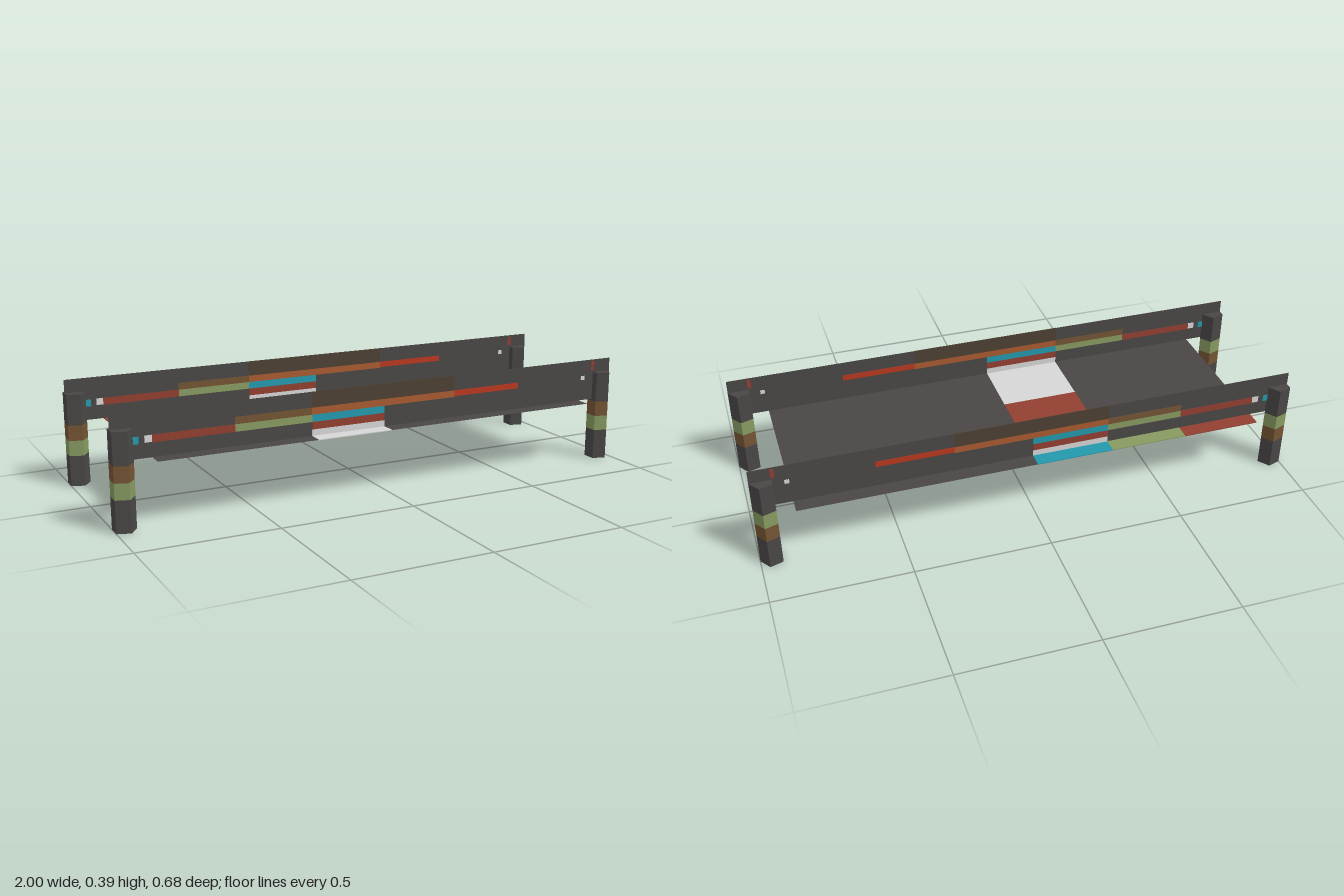
import * as THREE from 'three';

const paint = (name, color) => {
  const m = new THREE.MeshStandardMaterial({ color });
  m.name = name;
  return m;
};

export function createModel() {
  const mats = {
    charcoal: paint('charcoal', 0x4a4646),
    darkBrown: paint('dark brown', 0x4c4034),
    brown: paint('brown', 0x735434),
    orange: paint('orange', 0xa85a30),
    scarlet: paint('scarlet', 0xb8381f),
    brick: paint('brick red', 0x923f30),
    green: paint('green', 0x879a60),
    cyan: paint('cyan', 0x2399ac),
    white: paint('white', 0xd6d6d6),
  };
  // Open sheets are seen from both sides
  const sheet = mats.charcoal.clone();
  sheet.side = THREE.DoubleSide;

  const model = new THREE.Group();
  model.name = 'lowTable';
  const add = (parent, name, geometry, material, x, y, z) => {
    const mesh = new THREE.Mesh(geometry, material);
    mesh.name = name;
    mesh.position.set(x, y, z);
    parent.add(mesh);
    return mesh;
  };
  const T = 0.003;

  // Deck: a flat sheet with painted panels (x0, x1, z0, z1)
  const deck = new THREE.Group();
  deck.name = 'deck';
  deck.position.y = 0.234;
  model.add(deck);
  add(deck, 'deckSheet', new THREE.PlaneGeometry(1.72, 0.68).rotateX(-Math.PI / 2), sheet, 0, 0, 0);
  const deckPanels = [
    ['brick', -0.86, -0.57, -0.34, -0.228],
    ['green', -0.57, -0.285, -0.34, -0.228],
    ['cyan', -0.285, 0, -0.34, -0.228],
    ['brick', -0.285, 0, -0.228, 0.055],
    ['white', -0.285, 0, 0.055, 0.34],
  ];
  for (const [c, x0, x1, z0, z1] of deckPanels) {
    add(deck, 'deckPanel', new THREE.BoxGeometry(x1 - x0, T, z1 - z0), mats[c],
      (x0 + x1) / 2, 0, (z0 + z1) / 2);
  }

  // Side rails: upright sheets with the same painted stripes (x0, x1, y0, y1)
  const stripes = [
    ['darkBrown', -0.285, 0.29, 0.336, 0.392],
    ['brown', -0.57, -0.285, 0.311, 0.336],
    ['orange', -0.285, 0.29, 0.311, 0.336],
    ['scarlet', 0.29, 0.57, 0.314, 0.336],
    ['brick', -0.86, -0.57, 0.285, 0.311],
    ['green', -0.57, -0.285, 0.285, 0.311],
    ['cyan', -0.285, 0, 0.285, 0.311],
    ['brick', -0.285, 0, 0.258, 0.285],
    ['white', -0.285, 0, 0.235, 0.258],
    ['white', -0.885, -0.86, 0.287, 0.311],
    ['cyan', -0.925, -0.905, 0.285, 0.31],
    ['white', 0.865, 0.882, 0.315, 0.331],
    ['brick', 0.912, 0.926, 0.35, 0.385],
  ];
  for (const z of [0.285, -0.285]) {
    const rail = new THREE.Group();
    rail.name = z > 0 ? 'frontRail' : 'backRail';
    rail.position.z = z;
    model.add(rail);
    add(rail, 'railSheet', new THREE.PlaneGeometry(2, 0.157), sheet, 0, 0.3135, 0);
    for (const [c, x0, x1, y0, y1] of stripes) {
      add(rail, 'railStripe', new THREE.BoxGeometry(x1 - x0, y1 - y0, T), mats[c],
        (x0 + x1) / 2, (y0 + y1) / 2, 0);
    }
  }

  // Legs: five-sided posts in six rows, with two chequered rows
  const post = new THREE.CylinderGeometry(0.0427, 0.0427, 0.342, 5, 6, false, Math.PI / 2).toNonIndexed();
  post.computeVertexNormals();
  post.clearGroups();
  for (let side = 0; side < 5; side++) {
    const flip = side < 2;
    for (let row = 0; row < 6; row++) {
      const slot = row === 2 ? (flip ? 1 : 2) : row === 3 ? (flip ? 2 : 1) : 0;
      post.addGroup((side * 6 + row) * 6, 6, slot);
    }
  }
  post.addGroup(180, 30, 0);
  for (const x of [-0.9655, 0.957]) {
    for (const z of [-0.285, 0.285]) {
      add(model, 'leg', post, [mats.charcoal, mats.green, mats.brown], x, 0.171, z);
    }
  }
  return model;
}
